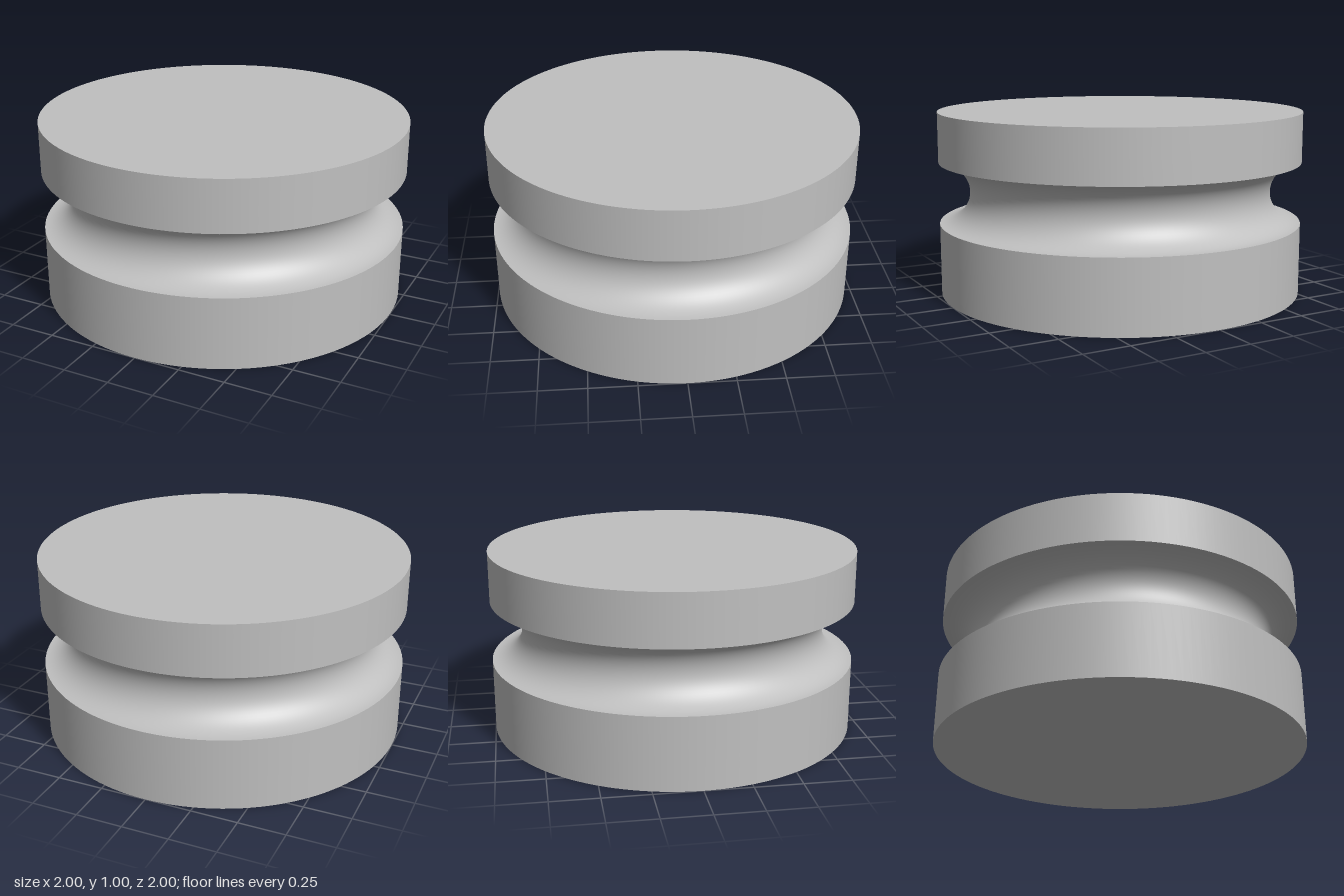
import * as THREE from 'three';

export function createModel() {
  const group = new THREE.Group();
  group.name = 'groovedWheel';
  const grey = new THREE.MeshStandardMaterial({ color: 0xc0c0c0 });
  grey.name = 'grey';

  const low = 0.39, high = 0.725; // groove edges
  const mid = (low + high) / 2, radius = (high - low) / 2;

  // Each smooth band is turned separately so the rims stay sharp
  const turn = (name, points) => {
    const profile = points.map(([r, y]) => new THREE.Vector2(r, y));
    const mesh = new THREE.Mesh(new THREE.LatheGeometry(profile, 128), grey);
    mesh.name = name;
    group.add(mesh);
  };

  // Half-round groove, from the lower rim inwards and up to the upper rim
  const groove = [];
  for (let i = 0; i <= 32; i++) {
    const a = (i / 32) * Math.PI;
    groove.push([1 - radius * Math.sin(a), mid - radius * Math.cos(a)]);
  }

  turn('bottomFace', [[0, 0], [1, 0]]);
  turn('lowerRim', [[1, 0], [1, low]]);
  turn('groove', groove);
  turn('upperRim', [[1, high], [1, 1]]);
  turn('topFace', [[1, 1], [0, 1]]);
  return group;
}
